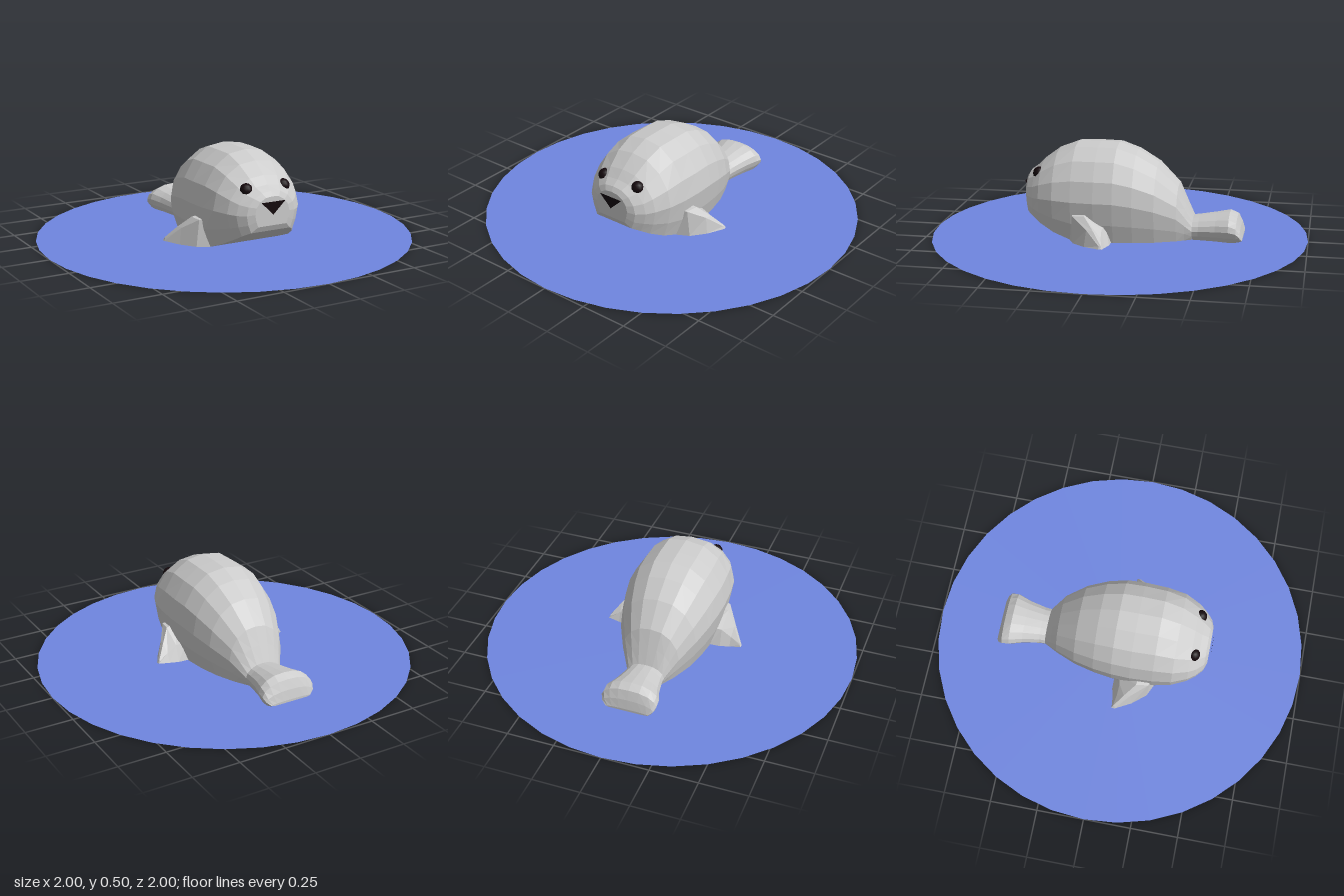
import * as THREE from 'three';

const grey = new THREE.MeshStandardMaterial({ color: 0xcccccc, flatShading: true });
const dark = new THREE.MeshStandardMaterial({ color: 0x14080c, side: THREE.DoubleSide });
const blue = new THREE.MeshStandardMaterial({ color: 0x6f86e0, side: THREE.DoubleSide });

// Skin a list of equal-length rings and close both ends.
function loft(rings) {
  const n = rings[0].length;
  const pos = rings.flat(2);
  const index = [];
  rings.slice(1).forEach((_, i) => {
    for (let j = 0; j < n; j++) {
      const a = i * n + j, b = i * n + (j + 1) % n;
      index.push(a, b, a + n, b, b + n, a + n);
    }
  });
  const last = (rings.length - 1) * n;
  [0, last].forEach((start) => {
    const ring = rings[start / n];
    const centre = pos.length / 3;
    for (let k = 0; k < 3; k++) pos.push(ring.reduce((s, p) => s + p[k], 0) / n);
    for (let j = 0; j < n; j++) {
      const a = start + j, b = start + (j + 1) % n;
      index.push(centre, ...(start ? [a, b] : [b, a]));
    }
  });
  const geometry = new THREE.BufferGeometry();
  geometry.setAttribute('position', new THREE.Float32BufferAttribute(pos, 3));
  geometry.setIndex(index);
  geometry.computeVertexNormals();
  return geometry;
}

// Half outline of a section: x as a share of half width, y as a share of height.
const half = [[0, 1], [0.38, 0.97], [0.7, 0.85], [0.92, 0.66], [1, 0.44], [0.93, 0.2], [0.82, 0], [0, 0]];
const outline = [...half, ...half.slice(1, -1).reverse().map(([x, y]) => [-x, y])];
const section = ([z, width, bottom, top]) =>
  outline.map(([x, y]) => [x * width, bottom + y * (top - bottom), z]);

export function createModel() {
  const model = new THREE.Group();
  model.name = 'sealOnDisc';
  const add = (name, geometry, material, parent = model) => {
    const mesh = new THREE.Mesh(geometry, material);
    mesh.name = name;
    parent.add(mesh);
    return mesh;
  };

  // Flat round ground
  add('groundDisc', new THREE.CircleGeometry(1, 36).rotateX(-Math.PI / 2), blue);

  // Body sections: z, half width, bottom, top
  add('body', loft([
    [0.49, 0.1, 0.16, 0.31],
    [0.475, 0.14, 0.13, 0.335],
    [0.44, 0.18, 0.11, 0.36],
    [0.4, 0.21, 0.085, 0.4],
    [0.32, 0.245, 0.045, 0.46],
    [0.22, 0.258, 0.008, 0.5],
    [0.1, 0.264, 0.006, 0.502],
    [0, 0.26, 0.006, 0.5],
    [-0.1, 0.243, 0.006, 0.465],
    [-0.21, 0.21, 0.006, 0.4],
    [-0.32, 0.155, 0.006, 0.29],
    [-0.36, 0.127, 0.006, 0.2],
    [-0.4, 0.1, 0.006, 0.11],
  ].map(section)), grey);

  // Tail flares and droops to its tip
  add('tail', loft([
    [-0.36, 0.1, 0.006, 0.11],
    [-0.43, 0.103, 0.006, 0.12],
    [-0.52, 0.122, 0.008, 0.135],
    [-0.59, 0.146, 0.01, 0.148],
    [-0.63, 0.148, 0.013, 0.128],
    [-0.65, 0.138, 0.015, 0.08],
    [-0.662, 0.115, 0.018, 0.03],
  ].map(section)), grey);

  for (const side of [1, -1]) {
    const name = side > 0 ? 'left' : 'right';

    // Flipper tapers from the shoulder to a low tip
    const rings = [
      [[0.21, 0.17, 0.15], [0.21, 0.16, 0.22], [0.21, 0.01, 0.23], [0.21, 0.008, 0.01], [0.21, 0.1, 0.04]],
      [[0.272, 0.158, 0.14], [0.262, 0.155, 0.205], [0.275, 0.012, 0.2], [0.27, 0.01, 0.01], [0.265, 0.09, 0.05]],
      [[0.325, 0.1, 0.085], [0.32, 0.1, 0.12], [0.335, 0.015, 0.13], [0.32, 0.012, 0.022], [0.32, 0.06, 0.045]],
      [[0.375, 0.036, 0.034], [0.376, 0.034, 0.044], [0.382, 0.02, 0.046], [0.382, 0.02, 0.028], [0.375, 0.03, 0.03]],
    ].map((ring) => {
      const points = ring.map(([x, y, z]) => [x * side, y, z]);
      return side > 0 ? points : points.reverse();
    });
    add(name + 'Flipper', loft(rings), grey);

    const eye = add(name + 'Eye', new THREE.SphereGeometry(0.035, 12, 8), dark);
    eye.position.set(side * 0.108, 0.338, 0.412);
  }

  // Flat triangular nose
  const nose = new THREE.Shape([[-0.07, 0.285], [0, 0.218], [0.07, 0.285]].map((p) => new THREE.Vector2(...p)));
  add('nose', new THREE.ShapeGeometry(nose), dark).position.z = 0.5;

  return model;
}
